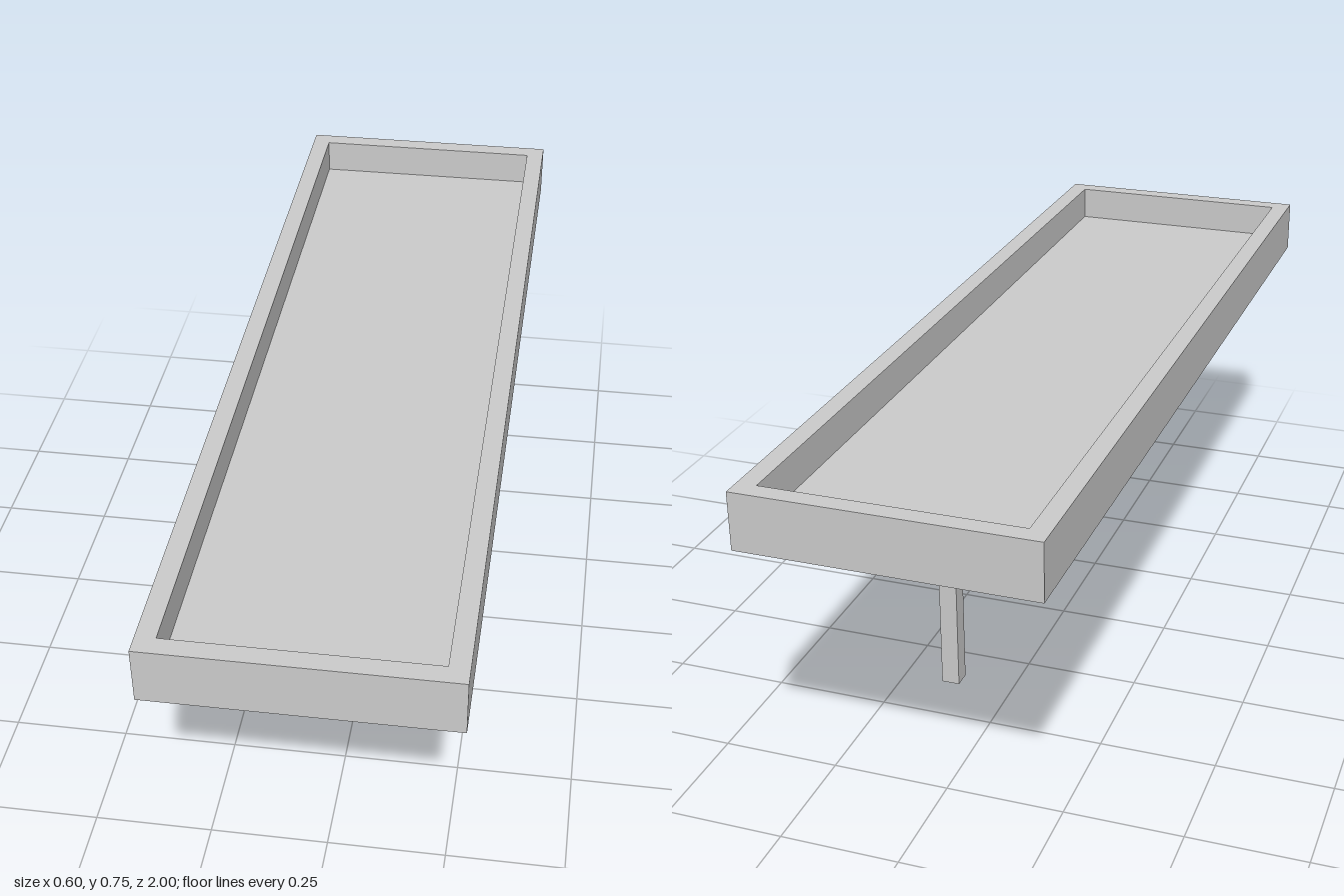
import * as THREE from 'three';

const TOP = 0.747, FLOOR = 0.67, UNDER = 0.628, NECK = 0.547;

export function createModel() {
  const group = new THREE.Group();
  const material = new THREE.MeshStandardMaterial({ color: 0xcccccc, flatShading: true });

  const add = (name, geometry, x, y, z) => {
    const mesh = new THREE.Mesh(geometry, material);
    mesh.name = name;
    mesh.position.set(x, y, z);
    group.add(mesh);
  };

  const rectangle = (path, w, d) =>
    path.moveTo(-w, -d).lineTo(w, -d).lineTo(w, d).lineTo(-w, d).closePath();

  // Tray walls: a rectangular frame extruded upwards
  const outline = rectangle(new THREE.Shape(), 0.3, 1);
  outline.holes.push(rectangle(new THREE.Path(), 0.26, 0.96));
  const rim = new THREE.ExtrudeGeometry(outline, { depth: TOP - UNDER, bevelEnabled: false });
  rim.rotateX(-Math.PI / 2);
  add('trayRim', rim, 0, UNDER, 0);

  // Tray floor, fitted inside the walls
  add('trayFloor', new THREE.BoxGeometry(0.52, FLOOR - UNDER, 1.92), 0, (FLOOR + UNDER) / 2, 0);

  // Flared bracket: a box whose lower end narrows to the post
  const flare = new THREE.BoxGeometry(0.08, UNDER - NECK, 0.08);
  const p = flare.attributes.position;
  for (let i = 0; i < p.count; i++) {
    if (p.getY(i) < 0) p.setXYZ(i, p.getX(i) / 2, p.getY(i), p.getZ(i) / 2);
  }
  flare.computeVertexNormals();

  // Two square posts with their brackets, offset to one side
  const post = new THREE.BoxGeometry(0.04, NECK, 0.04);
  for (const [side, z] of [['front', 0.36], ['back', -0.36]]) {
    add(side + 'Post', post, 0.14, NECK / 2, z);
    add(side + 'Bracket', flare, 0.14, (UNDER + NECK) / 2, z);
  }

  return group;
}
